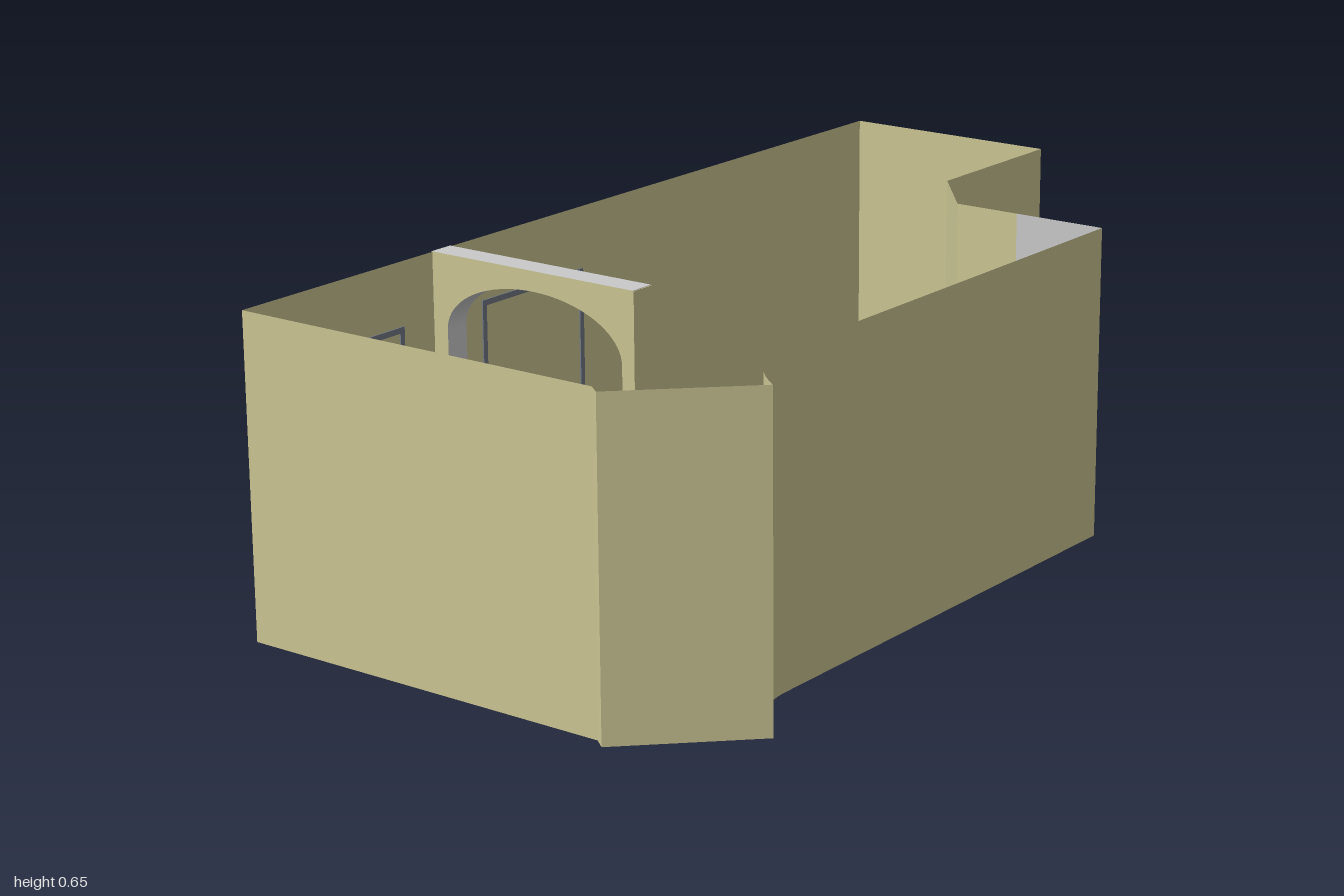
import * as THREE from 'three';

const H = 0.65;

function material(name, color, double = false) {
  const m = new THREE.MeshStandardMaterial({ color });
  m.name = name;
  if (double) m.side = THREE.DoubleSide;
  return m;
}

// Upright sheet following a plan path of [x, z] points; outward side faces front.
function wallGeometry(path) {
  const pos = [], idx = [];
  path.forEach(([x, z], i) => {
    pos.push(x, 0, z, x, H, z);
    if (i < path.length - 1) {
      const a = i * 2;
      idx.push(a, a + 1, a + 2, a + 2, a + 1, a + 3);
    }
  });
  const g = new THREE.BufferGeometry();
  g.setAttribute('position', new THREE.Float32BufferAttribute(pos, 3));
  g.setIndex(idx);
  g.computeVertexNormals();
  return g;
}

function rectangle(PathType, x0, x1, y0, y1) {
  const p = new PathType();
  p.moveTo(x0, y0);
  p.lineTo(x1, y0);
  p.lineTo(x1, y1);
  p.lineTo(x0, y1);
  p.closePath();
  return p;
}

export function createModel() {
  const room = new THREE.Group();
  room.name = 'room';
  const tan = material('tan wall', 0xcbc593, true);
  const brown = material('brown floor', 0x653a22, true);
  const grey = material('light grey', 0xc9c9c9, true);
  const slate = material('slate frame', 0x727a84);

  const add = (name, geometry, mat, parent = room) => {
    const mesh = new THREE.Mesh(geometry, mat);
    mesh.name = name;
    parent.add(mesh);
    return mesh;
  };
  const addBox = (name, x0, x1, y0, y1, z0, z1, mat, parent) =>
    add(name, new THREE.BoxGeometry(x1 - x0, y1 - y0, z1 - z0), mat, parent)
      .position.set((x0 + x1) / 2, (y0 + y1) / 2, (z0 + z1) / 2);

  // Plan of the room, clockwise from above, with a flared curved corner
  const flare = new THREE.QuadraticBezierCurve(
    new THREE.Vector2(-0.6, 0.432), new THREE.Vector2(-0.71, 0.432), new THREE.Vector2(-0.79, 0.544)
  ).getPoints(14).map(p => [p.x, p.y]);
  const walls = [
    ['backWall', [[-0.98, -0.525], [1, -0.525]]],
    ['leftWall', [[1, -0.525], [1, -0.042]]],
    ['alcoveWall', [[1, -0.042], [0.63, -0.042]]],
    ['angledWall', [[0.63, -0.042], [0.475, 0.086]]],
    ['returnWall', [[0.475, 0.086], [0.475, 0.23]]],
    ['returnPanel', [[0.475, 0.23], [0.475, 0.432]], grey],
    ['frontWall', [[0.475, 0.432], [-0.6, 0.432]]],
    ['curvedWall', flare],
    ['cornerWall', [[-0.79, 0.544], [-1, 0.325]]],
    ['cornerReturn', [[-1, 0.325], [-0.98, 0.3]]],
    ['rightWall', [[-0.98, 0.3], [-0.98, -0.525]]],
  ];
  for (const [name, path, mat = tan] of walls) add(name, wallGeometry(path), mat);

  // Floor sheet filling the plan
  const outline = walls.flatMap(([, path]) => path.slice(0, -1));
  const floorShape = new THREE.Shape(outline.map(([x, z]) => new THREE.Vector2(x, -z)));
  const floor = add('floor', new THREE.ShapeGeometry(floorShape).rotateX(-Math.PI / 2), brown);
  floor.position.y = 0.002;

  // Partition with an arched opening above a sill
  const profile = rectangle(THREE.Shape, 0.027, 0.527, 0, H + 0.001);
  const arch = new THREE.Path();
  arch.moveTo(0.055, 0.24);
  arch.lineTo(0.49, 0.24);
  arch.lineTo(0.49, 0.5);
  arch.absellipse(0.2725, 0.5, 0.2175, 0.11, 0, Math.PI, false);
  arch.lineTo(0.055, 0.24);
  profile.holes.push(arch);
  const partition = new THREE.ExtrudeGeometry(profile,
    { depth: 0.055, bevelEnabled: false, curveSegments: 20 });
  partition.rotateY(Math.PI / 2).translate(-0.455, 0, 0);
  add('archedPartition', partition, [tan, grey]);
  addBox('partitionEnd', -0.455, -0.4, 0.002, H, -0.027, -0.025, tan);

  // Windows on the back wall: rim through the wall, raised sash, pane
  for (const [x, back] of [[-0.7025, -0.547], [-0.155, -0.543]]) {
    const win = new THREE.Group();
    win.name = 'window';
    room.add(win);
    const rim = rectangle(THREE.Shape, x - 0.158, x + 0.158, 0.13, 0.52);
    rim.holes.push(rectangle(THREE.Path, x - 0.146, x + 0.146, 0.142, 0.508));
    const rimGeometry = new THREE.ExtrudeGeometry(rim, { depth: 0.013, bevelEnabled: false });
    add('windowRim', rimGeometry.translate(0, 0, -0.535), slate, win);
    addBox('windowSash', x - 0.147, x + 0.147, 0.145, 0.505, back + 0.001, -0.527, slate, win);
    addBox('windowPane', x - 0.138, x + 0.138, 0.154, 0.496, back, back + 0.002, grey, win);
  }
  return room;
}
